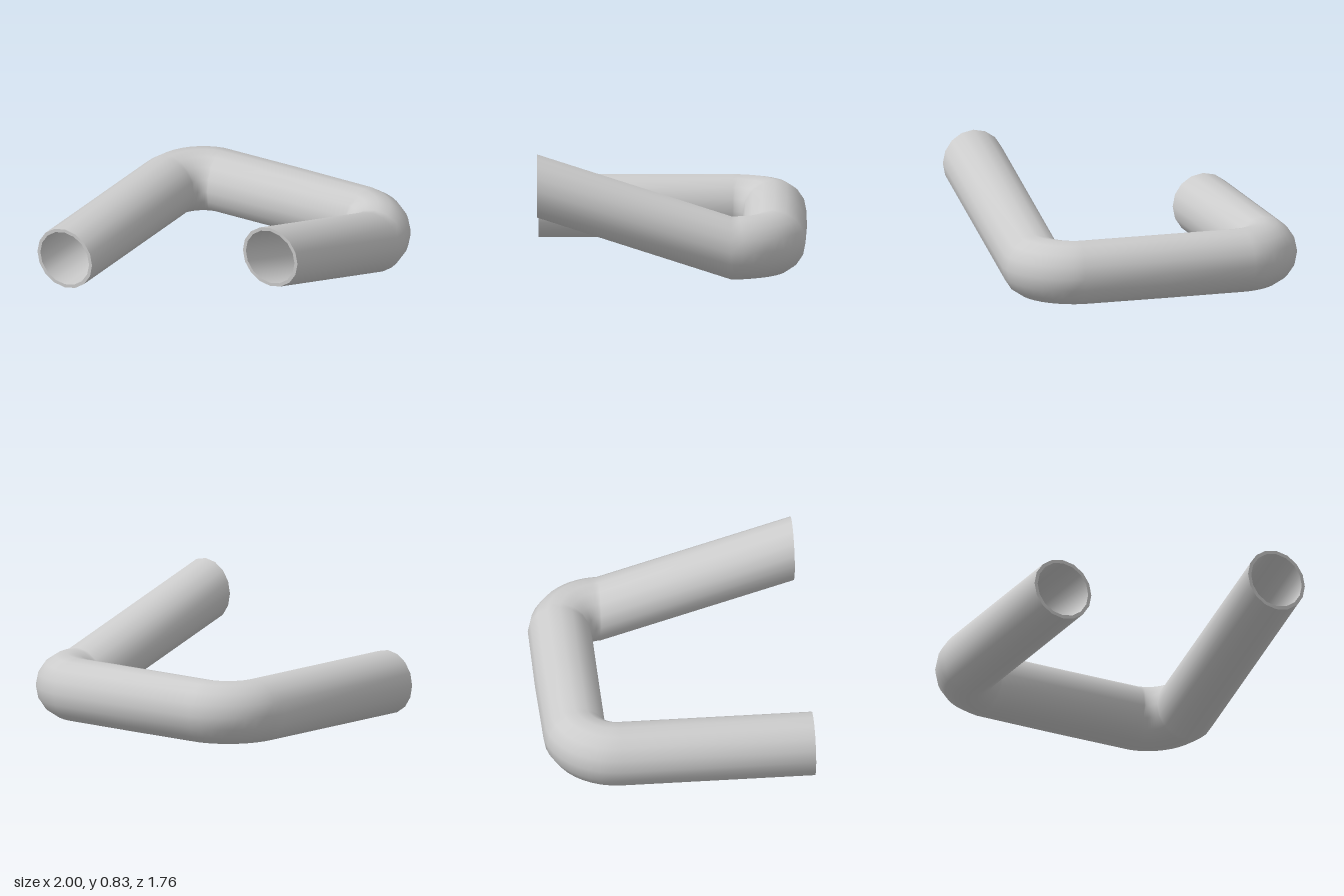
import * as THREE from 'three';

const SIDES = 16, OUTER = 0.21, INNER = 0.187;
const LEG_X = 0.79, FRONT_Z = 0.88, LOW_Y = 0.21, HIGH_Y = 0.62;
const BEND = { x: 0.51, z: -0.39, r: 0.28 };

// Cross-section stations along the pipe: centre point and horizontal outward direction
function pipeStations() {
  const half = [];
  for (let deg = 81; deg >= 0; deg -= 9) {
    const a = THREE.MathUtils.degToRad(deg);
    const out = new THREE.Vector3(Math.cos(a), 0, -Math.sin(a));
    half.push({ c: new THREE.Vector3(BEND.x, LOW_Y, BEND.z).addScaledVector(out, BEND.r), out });
  }
  const mirrorX = ({ c, out }) => ({
    c: new THREE.Vector3(-c.x, c.y, c.z),
    out: new THREE.Vector3(-out.x, 0, out.z),
  });
  return [
    { c: new THREE.Vector3(-LEG_X, LOW_Y, FRONT_Z), out: new THREE.Vector3(-1, 0, 0) },
    ...half.map(mirrorX).reverse(),
    { c: new THREE.Vector3(0, LOW_Y, BEND.z - BEND.r), out: new THREE.Vector3(0, 0, -1) },
    ...half,
    // raised leg: its sections stay upright, so it shears upwards
    { c: new THREE.Vector3(LEG_X, HIGH_Y, FRONT_Z), out: new THREE.Vector3(1, 0, 0) },
  ];
}

// Smooth wall through all stations; inward = true turns the faces to the bore
function wall(stations, radius, inward) {
  const pos = [], index = [];
  stations.forEach(({ c, out }, i) => {
    for (let j = 0; j < SIDES; j++) {
      const a = (j / SIDES) * Math.PI * 2, h = radius * Math.cos(a);
      pos.push(c.x + out.x * h, c.y + radius * Math.sin(a), c.z + out.z * h);
      if (i === stations.length - 1) continue;
      const k = (j + 1) % SIDES;
      const p = i * SIDES + j, q = i * SIDES + k, r = p + SIDES, s = q + SIDES;
      if (inward) index.push(p, r, q, q, r, s);
      else index.push(p, q, r, q, s, r);
    }
  });
  const g = new THREE.BufferGeometry();
  g.setAttribute('position', new THREE.Float32BufferAttribute(pos, 3));
  g.setIndex(index);
  g.computeVertexNormals();
  return g;
}

export function createModel() {
  const group = new THREE.Group();
  group.name = 'bentPipe';
  const material = new THREE.MeshStandardMaterial({ color: 0xcccccc });
  const add = (geometry, name) => {
    const mesh = new THREE.Mesh(geometry, material);
    mesh.name = name;
    group.add(mesh);
    return mesh;
  };

  const stations = pipeStations();
  add(wall(stations, OUTER, false), 'outerWall');
  add(wall(stations, INNER, true), 'innerWall');

  // Flat rims closing the wall thickness at the two open ends
  const rim = new THREE.RingGeometry(INNER, OUTER, SIDES);
  add(rim, 'rightRim').position.copy(stations[0].c);
  add(rim, 'leftRim').position.copy(stations[stations.length - 1].c);
  return group;
}
